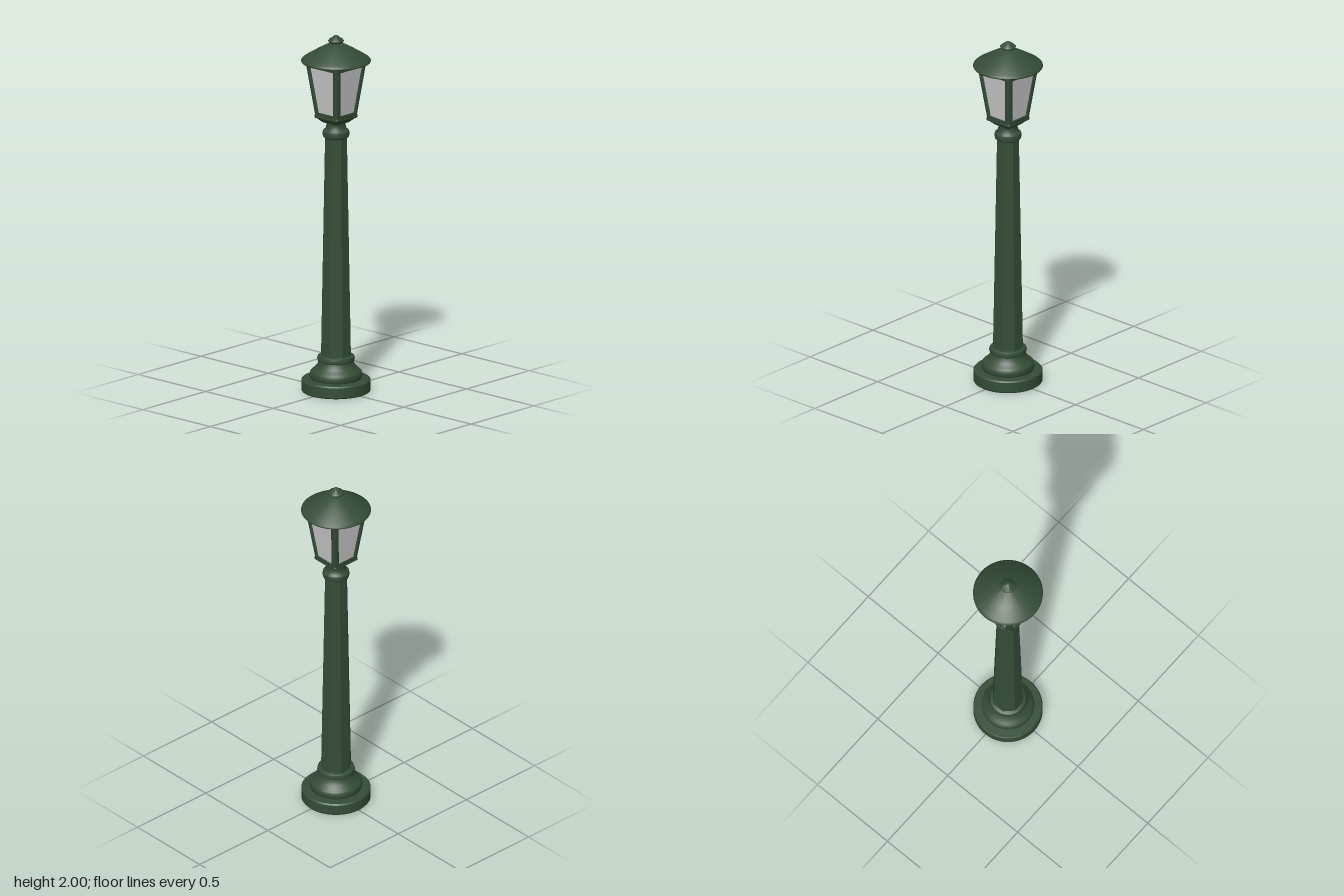
import * as THREE from 'three';
import { toCreasedNormals } from 'three/addons/utils/BufferGeometryUtils.js';
import { RoundedBoxGeometry } from 'three/addons/geometries/RoundedBoxGeometry.js';

const paint = new THREE.MeshStandardMaterial({ color: 0x344d37 });
paint.name = 'dark green paint';
const glass = new THREE.MeshStandardMaterial({ color: 0xcccccc, side: THREE.DoubleSide });
glass.name = 'frosted glass';

function add(parent, name, geometry, material = paint) {
  const mesh = new THREE.Mesh(geometry, material);
  mesh.name = name;
  parent.add(mesh);
  return mesh;
}

// Turned part from [radius, height] pairs, listed from bottom to top
function turned(parent, name, profile) {
  const points = profile.map(([r, y]) => new THREE.Vector2(r, y));
  return add(parent, name, toCreasedNormals(new THREE.LatheGeometry(points, 48), 0.6));
}

// Trapezoid outline with slightly cut corners
function trapezoid(Path, bottom, top, y0, y1, c) {
  return new Path([
    [-bottom + c, y0], [bottom - c, y0], [bottom, y0 + c], [top, y1 - c],
    [top - c, y1], [-top + c, y1], [-top, y1 - c], [-bottom, y0 + c],
  ].map(([x, y]) => new THREE.Vector2(x, y)));
}

export function createModel() {
  const model = new THREE.Group();
  model.name = 'street lamp';

  // Stepped foot
  turned(model, 'base', [
    [0, 0], [0.183, 0], [0.188, 0.006], [0.188, 0.062], [0.182, 0.069], [0.138, 0.071],
    [0.142, 0.08], [0.143, 0.095], [0.139, 0.11], [0.124, 0.123], [0.108, 0.139],
    [0.098, 0.155], [0.095, 0.168], [0.1, 0.172], [0.102, 0.184], [0.099, 0.196],
    [0.09, 0.202], [0, 0.202],
  ]);

  // Eight-sided tapering post with a flat side to the front
  const k = 1 / Math.cos(Math.PI / 8);
  const post = new THREE.CylinderGeometry(0.058 * k, 0.08 * k, 1.26, 8, 1, false, Math.PI / 8);
  const postMesh = add(model, 'post', toCreasedNormals(post, 0.4));
  postMesh.position.y = 0.82;

  // Collar ring and neck
  turned(model, 'collar', [
    [0, 1.422], [0.06, 1.422], [0.07, 1.43], [0.074, 1.446], [0.071, 1.462], [0.06, 1.472],
    [0.054, 1.48], [0.052, 1.5], [0.056, 1.525], [0.06, 1.54], [0, 1.54],
  ]);

  // Lantern body
  const lantern = new THREE.Group();
  lantern.name = 'lantern';
  model.add(lantern);
  const y0 = 1.545, y1 = 1.855, w0 = 0.085, w1 = 0.123, r = 0.02;
  const flare = new THREE.CylinderGeometry(0.078 * Math.SQRT2, 0.05 * Math.SQRT2, 0.028, 4, 1, false, Math.PI / 4);
  add(lantern, 'lanternFlare', toCreasedNormals(flare, 0.4)).position.y = 1.522;
  add(lantern, 'lanternFloor', new RoundedBoxGeometry(0.172, 0.022, 0.172, 3, 0.009)).position.y = 1.544;

  const tilt = Math.atan2(w1 - w0, y1 - y0);
  const height = Math.hypot(w1 - w0, y1 - y0);
  const frame = trapezoid(THREE.Shape, w0 - r, w1 - r, 0, height, 0);
  // Frame spans past the strut centres so that no gap shows beside the glass
  frame.holes.push(trapezoid(THREE.Path, 0.0635, 0.0955, 0.022, 0.281, 0.007));
  const frameGeometry = new THREE.ExtrudeGeometry(frame, { depth: 0.014, bevelEnabled: false });
  frameGeometry.translate(0, 0, -0.014);
  const paneGeometry = new THREE.ShapeGeometry(trapezoid(THREE.Shape, 0.066, 0.099, 0.016, 0.288, 0));
  paneGeometry.translate(0, 0, -0.007);

  // Struts follow the sloping corners
  const low = new THREE.Vector3(w0 - r, y0, w0 - r);
  const high = new THREE.Vector3(w1 - r, y1, w1 - r);
  const along = high.clone().sub(low);
  const strutGeometry = new THREE.CylinderGeometry(r, r, along.length(), 16);

  for (let i = 0; i < 4; i++) {
    const side = new THREE.Group();
    side.name = 'lanternSide';
    side.rotation.y = i * Math.PI / 2;
    lantern.add(side);

    const panel = new THREE.Group();
    panel.name = 'lanternPanel';
    panel.position.set(0, y0, w0);
    panel.rotation.x = tilt;
    side.add(panel);
    add(panel, 'panelFrame', frameGeometry);
    add(panel, 'glassPane', paneGeometry, glass);

    const strut = add(side, 'cornerStrut', strutGeometry);
    strut.position.copy(low).add(high).multiplyScalar(0.5);
    strut.quaternion.setFromUnitVectors(new THREE.Vector3(0, 1, 0), along.clone().normalize());
  }

  // Conical roof with a thin lip
  turned(model, 'roof', [
    [0, 1.862], [0.172, 1.858], [0.178, 1.85], [0.187, 1.85], [0.19, 1.855],
    [0.188, 1.861], [0.178, 1.87], [0.105, 1.915], [0.035, 1.954], [0, 1.956],
  ]);

  // Pointed finial
  turned(model, 'finial', [
    [0, 1.945], [0.03, 1.948], [0.032, 1.957], [0.041, 1.962], [0.043, 1.968],
    [0.038, 1.975], [0.018, 1.989], [0.008, 1.997], [0, 2],
  ]);

  return model;
}
